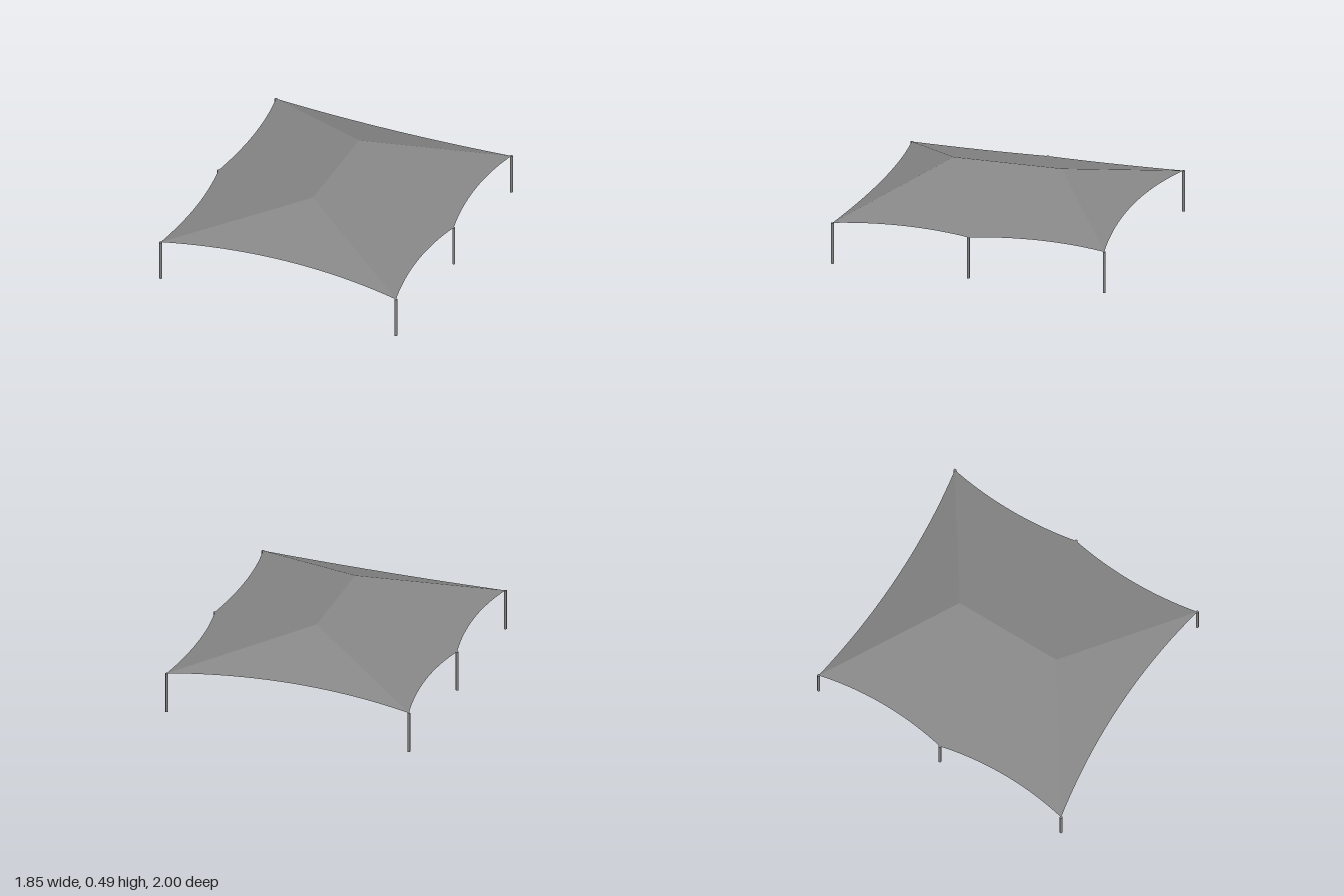
import * as THREE from 'three';

const EAVE = 0.267, RIDGE = 0.49, POST_RADIUS = 0.009, STEPS = 20;

export function createModel() {
  const group = new THREE.Group();
  const postMaterial = new THREE.MeshStandardMaterial({ color: 0x808080 });
  const fabricMaterial = new THREE.MeshStandardMaterial({ color: 0x868686, side: THREE.DoubleSide });

  // Half of the plan; the other half is the same turned by 180 degrees
  const frontRight = new THREE.Vector3(-0.915, EAVE, 0.765);
  const frontLeft = new THREE.Vector3(0.667, EAVE, 0.99);
  const middleLeft = new THREE.Vector3(0.791, EAVE, 0.1125);
  const ridgeFront = new THREE.Vector3(-0.05, RIDGE, 0.35);
  const turn = (v) => new THREE.Vector3(-v.x, v.y, -v.z);
  const backLeft = turn(frontRight);
  const ridgeBack = turn(ridgeFront);

  // Eave between two posts: a parabola pulled inward along the panel's slope
  function eave(a, b, sag, ridgePoint) {
    const along = b.clone().sub(a).normalize();
    const inward = ridgePoint.clone().sub(a);
    inward.addScaledVector(along, -inward.dot(along));
    inward.divideScalar(Math.hypot(inward.x, inward.z));
    return Array.from({ length: STEPS + 1 }, (_, i) => {
      const t = i / STEPS;
      return a.clone().lerp(b, t).addScaledVector(inward, 4 * sag * t * (1 - t));
    });
  }

  // Flat fabric panel stretched from the ridge (or one ridge end) to its eave
  function panelGeometry(top0, top1, edge) {
    const n = edge.length, points = [], index = [];
    edge.forEach((p, i) => {
      points.push(top0.clone().lerp(top1, i / (n - 1)), p);
      if (i === n - 1) return;
      const k = 2 * i;
      index.push(k, k + 1, k + 3);
      if (top0 !== top1) index.push(k, k + 3, k + 2);
    });
    const geometry = new THREE.BufferGeometry().setFromPoints(points);
    geometry.setIndex(index);
    geometry.computeVertexNormals();
    return geometry;
  }

  const endPanel = panelGeometry(ridgeFront, ridgeFront, eave(frontRight, frontLeft, 0.075, ridgeFront));
  const sidePanel = panelGeometry(ridgeFront, ridgeBack, [
    ...eave(frontLeft, middleLeft, 0.046, ridgeFront),
    ...eave(middleLeft, backLeft, 0.046, ridgeFront).slice(1),
  ]);
  const postGeometry = new THREE.CylinderGeometry(POST_RADIUS, POST_RADIUS, EAVE, 16);

  // Two matching halves
  for (const half of [0, 1]) {
    const canopyHalf = new THREE.Group();
    canopyHalf.name = half ? 'backHalf' : 'frontHalf';
    canopyHalf.rotation.y = half * Math.PI;

    const end = new THREE.Mesh(endPanel, fabricMaterial);
    end.name = 'endCanopyPanel';
    const side = new THREE.Mesh(sidePanel, fabricMaterial);
    side.name = 'sideCanopyPanel';
    canopyHalf.add(end, side);

    for (const p of [frontRight, frontLeft, middleLeft]) {
      const post = new THREE.Mesh(postGeometry, postMaterial);
      post.name = p === middleLeft ? 'middlePost' : 'cornerPost';
      post.position.set(p.x, EAVE / 2, p.z);
      canopyHalf.add(post);
    }
    group.add(canopyHalf);
  }
  return group;
}
